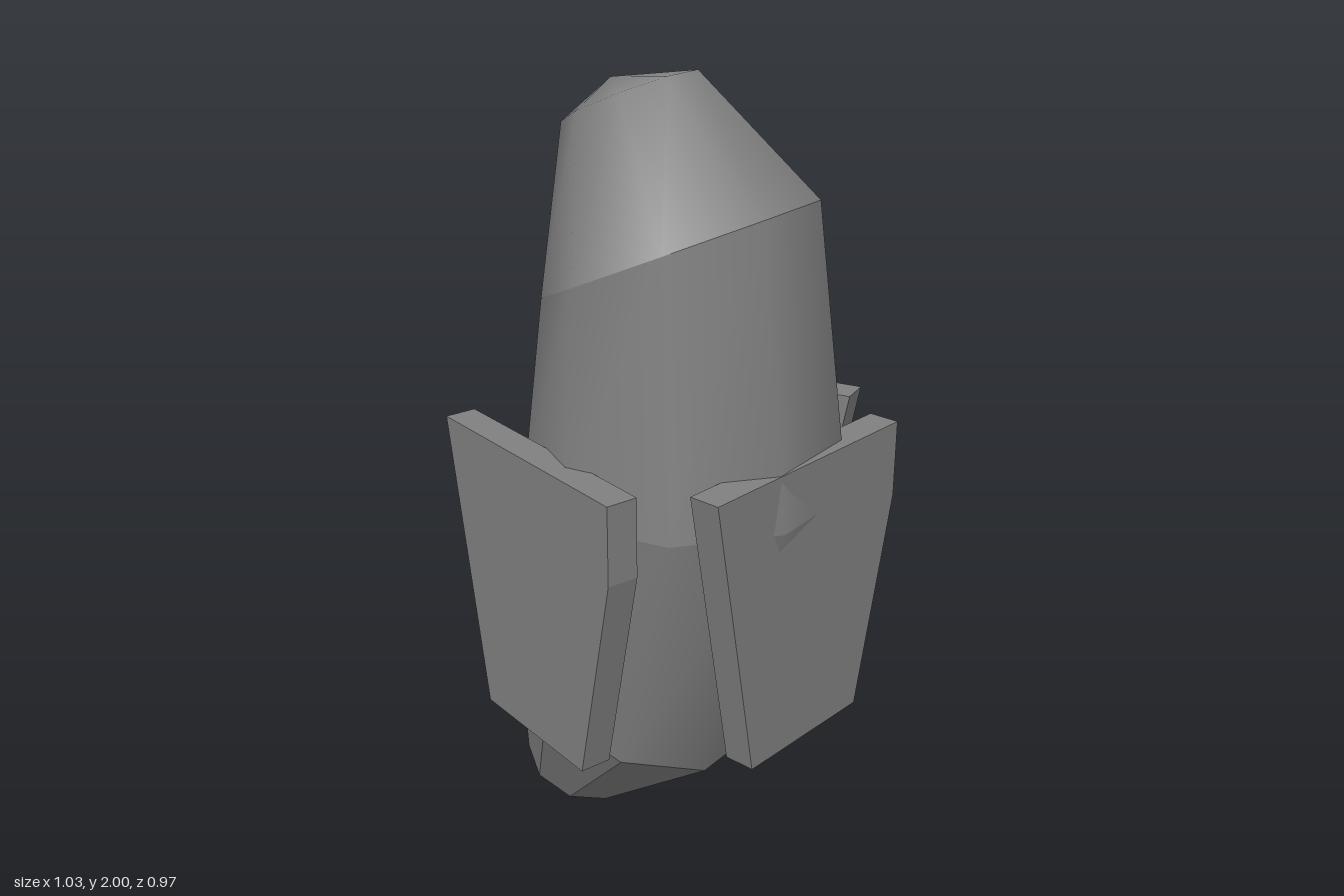
import * as THREE from 'three';
import { mergeVertices } from 'three/addons/utils/BufferGeometryUtils.js';

const SIDES = 9;
const START = THREE.MathUtils.degToRad(-6);

// Tilted rings: centre, radii along x and z, slope of the ring plane along x and z
const tip = { c: [-0.31, 0.06, -0.125], rx: 0.14, rz: 0.158, a: -0.42, b: -0.07 };
const hip = { c: [-0.1, 0.407, -0.065], rx: 0.312, rz: 0.333, a: -0.418, b: -0.06 };
const waist = { c: [0.045, 1.025, -0.03], rx: 0.397, rz: 0.4, a: 0, b: 0 };
const shoulder = { c: [0.028, 1.597, -0.032], rx: 0.322, rz: 0.354, a: 0.44, b: 0.12 };
const crown = { c: [-0.113, 1.93, -0.07], rx: 0.158, rz: 0.174, a: 0.44, b: 0.12 };

const point = (p) => ({ c: p, rx: 0, rz: 0, a: 0, b: 0 });

// Skins a list of rings from bottom to top; a ring of zero radius closes an end
function skin(rings) {
  const at = (r, i) => {
    const t = START + ((i % SIDES) / SIDES) * Math.PI * 2;
    const dx = r.rx * Math.cos(t);
    const dz = r.rz * Math.sin(t);
    return [r.c[0] + dx, r.c[1] + r.a * dx + r.b * dz, r.c[2] + dz];
  };
  const pos = [];
  for (let k = 0; k < rings.length - 1; k++) {
    const lo = rings[k], hi = rings[k + 1];
    for (let i = 0; i < SIDES; i++) {
      const a = at(lo, i), b = at(lo, i + 1), c = at(hi, i + 1), d = at(hi, i);
      if (lo.rx > 0) pos.push(...a, ...d, ...b);
      if (hi.rx > 0) pos.push(...b, ...d, ...c);
    }
  }
  const g = new THREE.BufferGeometry();
  g.setAttribute('position', new THREE.Float32BufferAttribute(pos, 3));
  return g;
}

// Shares the corners of a skin so that it shades smoothly
function smoothSkin(rings) {
  const g = mergeVertices(skin(rings));
  g.computeVertexNormals();
  return g;
}

export function createModel() {
  const group = new THREE.Group();
  const smooth = new THREE.MeshStandardMaterial({ color: 0x808080 });
  const flat = new THREE.MeshStandardMaterial({ color: 0x808080, flatShading: true });
  const add = (name, geometry, material) => {
    const mesh = new THREE.Mesh(geometry, material);
    mesh.name = name;
    group.add(mesh);
    return mesh;
  };

  // Bent trunk in smooth sections, with a rounded, slanted top
  add('lowerTrunk', smoothSkin([hip, waist]), smooth);
  add('upperTrunk', smoothSkin([waist, shoulder]), smooth);
  add('slantedTop', smoothSkin([shoulder, crown, point([-0.165, 1.97, -0.075])]), smooth);

  // Faceted taper below, closed by a flat end
  const base = skin([point(tip.c), tip, hip]);
  base.computeVertexNormals();
  add('taperedBase', base, flat);

  // Three slabs around the trunk, all with the same outline
  const outline = new THREE.Shape(
    [[0, 1.165], [0.14, 0.425], [0.55, 0.425], [0.67, 0.97], [0.67, 1.165]]
      .map(([x, y]) => new THREE.Vector2(x, y)));
  const slab = new THREE.ExtrudeGeometry(outline, { depth: 0.08, bevelEnabled: false });
  slab.translate(0, 0, -0.08);

  // Outer top corners, left to right as seen from outside: x, z, x, z
  const plates = {
    frontPlate: [-0.517, 0.15, 0.068, 0.487],
    leftPlate: [0.285, 0.395, 0.515, -0.237],
    backPlate: [0.366, -0.432, -0.303, -0.49],
  };
  for (const [name, [x0, z0, x1, z1]] of Object.entries(plates)) {
    const plate = add(name, slab, flat);
    plate.position.set(x0, 0, z0);
    plate.rotation.y = Math.atan2(z0 - z1, x1 - x0);
  }
  return group;
}
